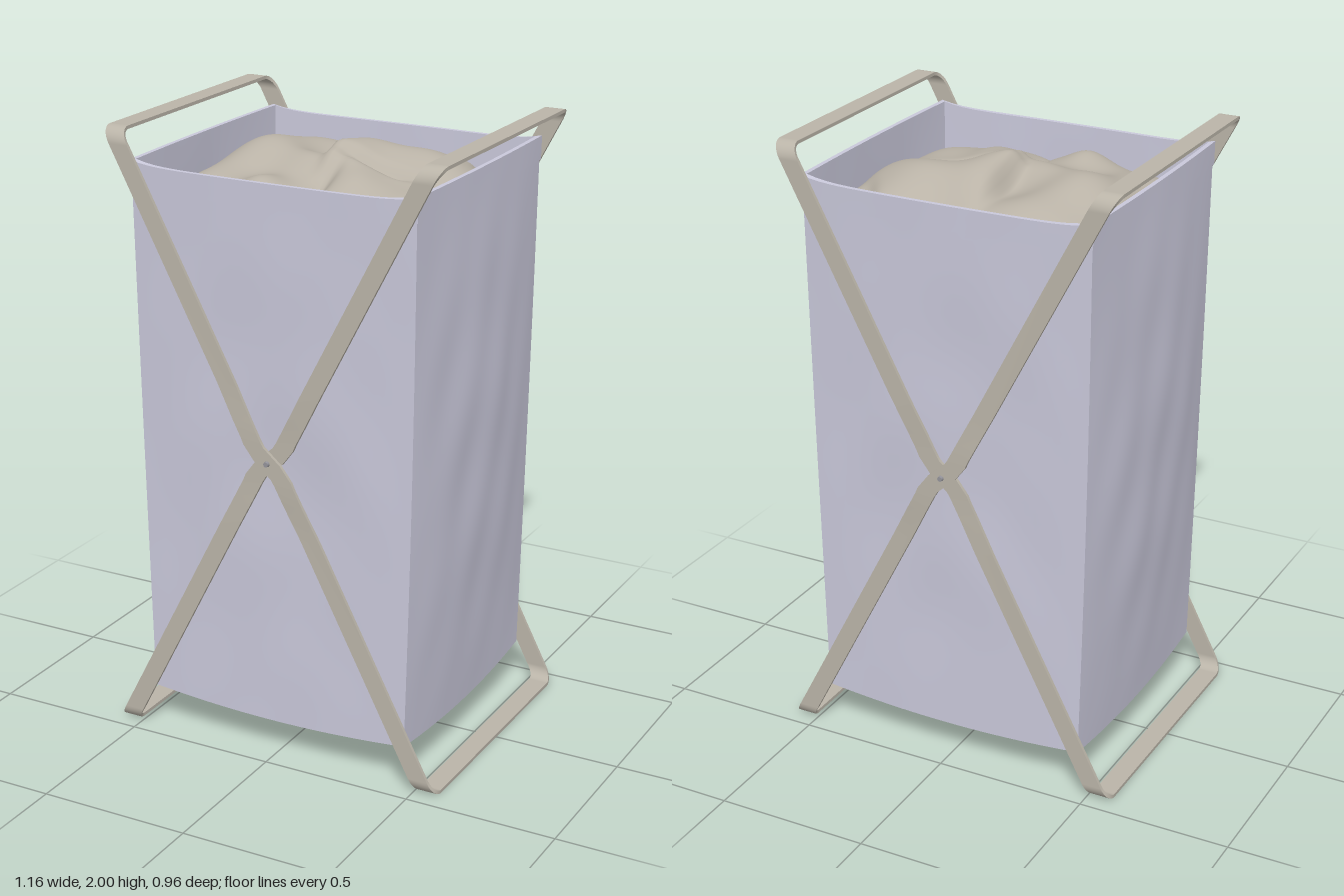
import * as THREE from 'three';

const mat = (name, color) => Object.assign(
  new THREE.MeshStandardMaterial({ color, side: THREE.DoubleSide }), { name });

// Smooth surface patch from a rule f(u, v) -> [x, y, z] with u, v in 0..1
function patch(f, nu, nv) {
  const pos = [], idx = [];
  for (let j = 0; j <= nv; j++) for (let i = 0; i <= nu; i++) pos.push(...f(i / nu, j / nv));
  for (let j = 0; j < nv; j++) for (let i = 0; i < nu; i++) {
    const a = j * (nu + 1) + i, c = a + nu + 1;
    idx.push(a, a + 1, c + 1, a, c + 1, c);
  }
  const g = new THREE.BufferGeometry();
  g.setAttribute('position', new THREE.Float32BufferAttribute(pos, 3));
  g.setIndex(idx);
  g.computeVertexNormals();
  return g;
}

const gauss = (x, z, cx, cz, rx, rz) => Math.exp(-(((x - cx) / rx) ** 2) - ((z - cz) / rz) ** 2);
const lerp = THREE.MathUtils.lerp;

// ---- Bag walls: side 0 front, 1 left, 2 back, 3 right; u in -1..1, v in 0..1, off = outward offset
function wall(side, u, v, off) {
  const wide = side % 2 === 0;
  const arch = Math.sin(Math.PI * v), mid = 1 - u * u;
  const hx = lerp(0.455, 0.483, v) + 0.004 * arch + off;
  const hz = lerp(0.428, 0.435, v) - 0.004 * arch + off;
  const top = wide ? 1.887 + 0.016 * u ** 8 : 1.903;
  const y = lerp(0.14 - 0.02 * mid, top, v);
  const bulge = mid * (wide ? 0.007 + 0.004 * v : 0.008 + 0.027 * arch);
  const fold = mid * arch * (0.0035 * Math.sin(5 * u + 9 * v + side * 2)
    + 0.0025 * Math.sin(11 * u - 14 * v + side) + 0.002 * Math.sin(23 * v + 6 * u * u));
  const along = u * (wide ? hx : hz), out = (wide ? hz : hx) + bulge + fold;
  return [[along, y, out], [out, y, -along], [-along, y, -out], [-out, y, along]][side];
}

// Folded laundry heap
function heap(u, v) {
  const x = (u * 2 - 1) * 0.478, z = (v * 2 - 1) * 0.418;
  const e = (1 - (u * 2 - 1) ** 6) * (1 - (v * 2 - 1) ** 6);
  const crease = 0.5 + 0.5 * Math.tanh((x + 0.03 - 0.25 * Math.max(0, z)) / 0.018);
  let y = 1.74 + 0.075 * e;
  y += 0.075 * gauss(x, z, -0.28, -0.08, 0.19, 0.26);
  y += 0.07 * gauss(x, z, 0.27, -0.1, 0.2, 0.2);
  y += 0.085 * crease * gauss(x, z, 0.02, -0.08, 0.11, 0.17);
  y += 0.05 * gauss(x, z, -0.06, 0.04, 0.12, 0.1);
  y += 0.045 * gauss(x, z, 0.14, 0.2, 0.09, 0.14) + 0.04 * gauss(x, z, -0.12, 0.28, 0.08, 0.12);
  y -= 0.035 * gauss(x, z, 0.14, 0.03, 0.12, 0.025);
  y -= 0.03 * gauss(x, z, 0.04, 0.2, 0.03, 0.14);
  y -= 0.025 * gauss(x - z * 0.6, z, 0.52, -0.27, 0.025, 0.1);
  y += e * (0.008 * Math.sin(17 * x + 9 * z) + 0.007 * Math.sin(21 * z - 8 * x));
  return [x, y, z];
}

// ---- Strap frame: rounded loop in z-y, slanted in x, with a jog at the crossing
const PIVOT_Y = 1.015;
const slant = (y) => {
  const p = [[0.01, 0.543], [0.965, 0.048], [1.065, -0.048], [2, -0.537]];
  let i = 0;
  while (i < 2 && y > p[i + 1][0]) i++;
  return lerp(p[i][1], p[i + 1][1], (y - p[i][0]) / (p[i + 1][0] - p[i][0]));
};

function strapPath() {
  const hz = 0.463, r = 0.05, y0 = 0.004, y1 = 2, pts = [];
  const legYs = [1.25, 1.14, 1.085, 1.065, 1.045, 1.015, 0.985, 0.965, 0.945, 0.89, 0.78];
  const arc = (cz, cy, from) => {
    for (let i = 0; i <= 8; i++) {
      const a = from - (i / 8) * Math.PI / 2, nz = Math.cos(a), ny = Math.sin(a);
      pts.push({ z: cz + r * nz, y: cy + r * ny, nz, ny });
    }
  };
  arc(hz - r, y1 - r, Math.PI / 2);
  legYs.forEach((y) => pts.push({ z: hz, y, nz: 1, ny: 0 }));
  arc(hz - r, y0 + r, 0);
  arc(r - hz, y0 + r, -Math.PI / 2);
  [...legYs].reverse().forEach((y) => pts.push({ z: -hz, y, nz: -1, ny: 0 }));
  arc(r - hz, y1 - r, Math.PI);
  pts.push(pts[0]);
  return pts;
}

function strapFrame(name, mirror, lift, material) {
  const g = new THREE.Group();
  g.name = name;
  const path = strapPath(), n = path.length - 1, thick = 0.011;
  const corners = [[-1, 0], [1, 0], [1, 1], [-1, 1]];
  const at = (k, u) => {
    const p = path[Math.round(u * n)], [w, d] = corners[k % 4];
    const near = Math.max(0, 1 - Math.abs(p.y - PIVOT_Y) / 0.06);
    const bow = lift * THREE.MathUtils.smoothstep(0.26 - Math.abs(p.y - PIVOT_Y), 0, 0.17);
    const out = bow - d * thick;
    const x = slant(p.y) + w * (0.033 + 0.012 * near);
    return [mirror * x, p.y + p.ny * out, p.z + p.nz * out];
  };
  ['outerFace', 'leftEdge', 'innerFace', 'rightEdge'].forEach((part, k) => {
    const m = new THREE.Mesh(patch((u, v) => at(v < 0.5 ? k : k + 1, u), n, 1), material);
    m.name = part;
    g.add(m);
  });
  return g;
}

export function createModel() {
  const model = new THREE.Group();
  model.name = 'laundryHamper';
  const fabric = mat('lavenderFabric', 0xc9c8da);
  const metal = mat('beigeMetal', 0xbab4a8);
  const linen = mat('beigeLinen', 0xbab3a7);
  const steel = mat('greySteel', 0x94939a);
  const add = (parent, name, geo, material) => {
    const m = new THREE.Mesh(geo, material);
    m.name = name;
    parent.add(m);
    return m;
  };

  // Fabric bag
  const bag = new THREE.Group();
  bag.name = 'bag';
  model.add(bag);
  const HEM = 0.957, OUT = 0.004, IN = -0.011;
  ['front', 'left', 'back', 'right'].forEach((n, s) => {
    add(bag, n + 'Panel', patch((u, v) => wall(s, u * 2 - 1, v, 0), 28, 56), fabric);
    add(bag, n + 'Hem', patch((u, v) => wall(s, u * 2 - 1, lerp(HEM, 1, v), OUT), 28, 3), fabric);
    add(bag, n + 'HemStep', patch((u, v) => wall(s, u * 2 - 1, HEM, v * OUT), 28, 1), fabric);
    add(bag, n + 'Rim', patch((u, v) => wall(s, u * 2 - 1, 1, lerp(OUT, IN, v)), 28, 1), fabric);
    add(bag, n + 'Lining', patch((u, v) => wall(s, u * 2 - 1, lerp(1, 0.85, v), IN), 28, 8), fabric);
  });

  // Sagging base
  add(bag, 'base', patch((a, b) => {
    const u = a * 2 - 1, w = b * 2 - 1, mu = 1 - u * u, mw = 1 - w * w;
    return [u * (0.455 + 0.008 * mw), 0.14 - 0.02 * mu - 0.02 * mw, w * (0.428 + 0.007 * mu)];
  }, 20, 20), fabric);

  // Contents
  add(model, 'laundry', patch((u, v) => heap(u, 1 - v), 72, 64), linen);

  // Crossed frames, one passing outside the other at the pivot
  model.add(strapFrame('outerFrame', 1, 0.008, metal));
  model.add(strapFrame('innerFrame', -1, -0.005, metal));

  // Pivot rivets
  for (const s of [1, -1]) {
    const rivet = add(model, s > 0 ? 'frontRivet' : 'backRivet',
      new THREE.CylinderGeometry(0.008, 0.012, 0.03, 16), steel);
    rivet.rotation.x = s * Math.PI / 2;
    rivet.position.set(0, PIVOT_Y, s * 0.465);
  }
  return model;
}
